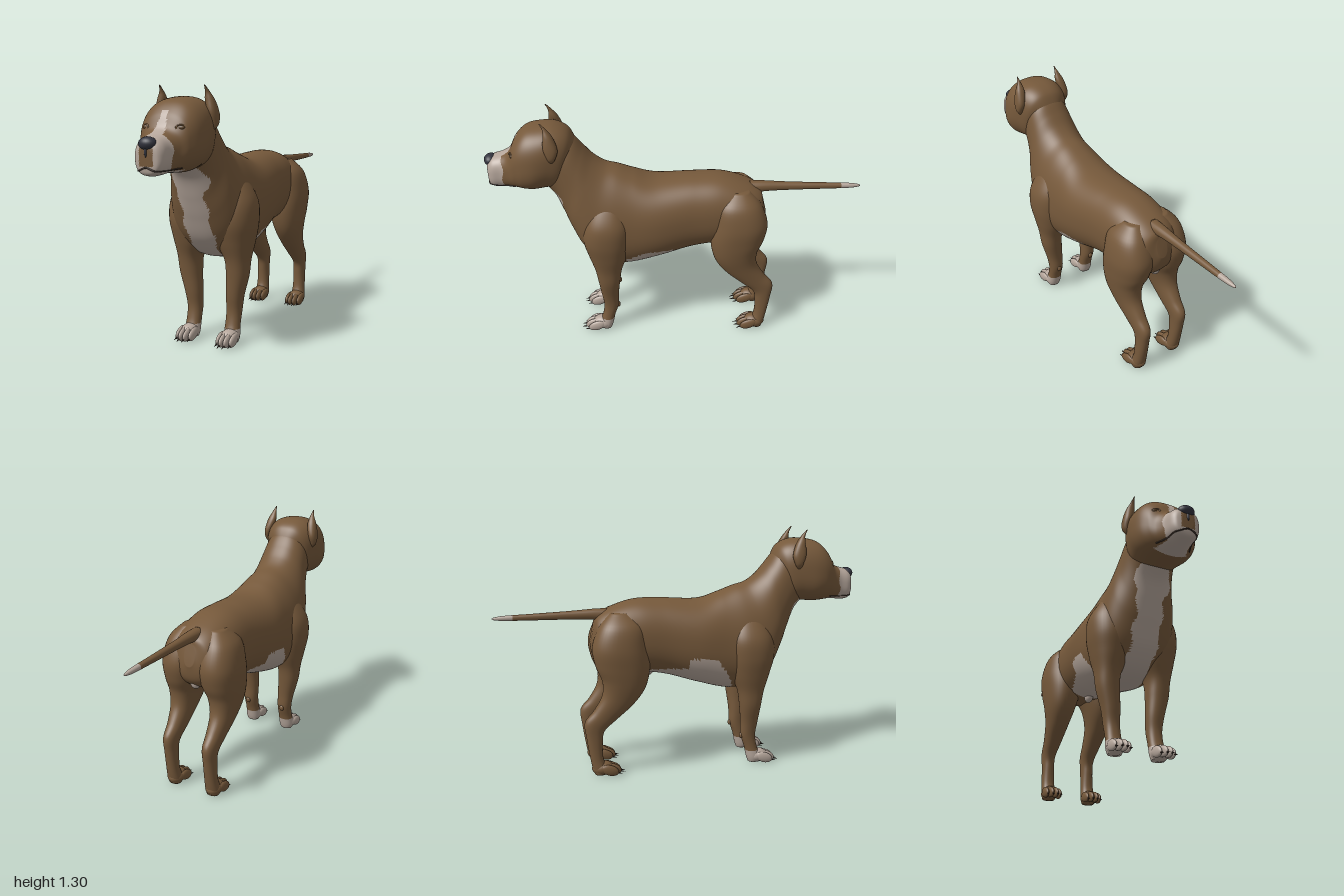
import * as THREE from 'three';

const mat = (name, hex) => {
  const m = new THREE.MeshStandardMaterial({ color: hex });
  m.name = name;
  return m;
};

// Cubic blend of one ring value between neighbouring key rings
const blend = (a, b, c, d, t) =>
  0.5 * (2 * b + (c - a) * t + (2 * a - 5 * b + 4 * c - d) * t * t + (3 * b - a - 3 * c + d) * t * t * t);

// Smooth skin through rings [zA, yA, zB, yB, halfWidth, centreX, bias].
// A and B are opposite points of the ring; bias widens the A side.
// paint(x, y, z) picks a material index for each face.
function loft(rings, { seg = 40, sub = 6, power = 0.9, mirror = 1, paint = () => 0 } = {}) {
  const pos = [], n = rings.length, at = i => rings[Math.max(0, Math.min(n - 1, i))];
  let rows = 0;
  for (let i = 0; i < n - 1; i++) {
    for (let k = 0; k < sub + (i === n - 2 ? 1 : 0); k++) {
      const r = [0, 1, 2, 3, 4, 5, 6].map(j =>
        blend(at(i - 1)[j] || 0, at(i)[j] || 0, at(i + 1)[j] || 0, at(i + 2)[j] || 0, k / sub));
      for (let s = 0; s < seg; s++) {
        const a = (s / seg) * Math.PI * 2;
        const c = Math.sign(Math.cos(a)) * Math.abs(Math.cos(a)) ** power;
        const w = Math.sign(Math.sin(a)) * Math.abs(Math.sin(a)) ** power;
        pos.push(mirror * (r[5] + w * r[4] * (1 + r[6] * c)),
          (r[1] + r[3]) / 2 + c * (r[1] - r[3]) / 2, (r[0] + r[2]) / 2 + c * (r[0] - r[2]) / 2);
      }
      rows++;
    }
  }
  const faces = [];
  for (let j = 0; j < rows - 1; j++) for (let s = 0; s < seg; s++) {
    const a = j * seg + s, b = j * seg + (s + 1) % seg;
    faces.push([a, b, a + seg], [b, b + seg, a + seg]);
  }
  // End caps
  for (const [row, flip] of [[0, true], [rows - 1, false]]) {
    const q = at(row ? n - 1 : 0), mid = pos.length / 3;
    pos.push(mirror * (q[5] || 0), (q[1] + q[3]) / 2, (q[0] + q[2]) / 2);
    for (let s = 0; s < seg; s++) {
      const a = row * seg + s, b = row * seg + (s + 1) % seg;
      faces.push(flip ? [b, a, mid] : [a, b, mid]);
    }
  }
  // Signed volume decides the corner order
  const v = i => new THREE.Vector3().fromArray(pos, i * 3);
  let volume = 0;
  const buckets = [];
  for (const f of faces) {
    const [a, b, c] = f.map(v);
    const m = a.clone().add(b).add(c).divideScalar(3);
    volume += a.dot(b.cross(c));
    const id = paint(m.x, m.y, m.z);
    (buckets[id] ||= []).push(f);
  }
  const geo = new THREE.BufferGeometry(), index = [];
  buckets.forEach((list, id) => {
    geo.addGroup(index.length, list.length * 3, id);
    for (const [a, b, c] of list) index.push(...(volume > 0 ? [a, b, c] : [a, c, b]));
  });
  geo.setAttribute('position', new THREE.Float32BufferAttribute(pos, 3));
  geo.setIndex(index);
  geo.computeVertexNormals();
  return geo;
}

export function createModel() {
  const dog = new THREE.Group();
  dog.name = 'dog';
  const brown = mat('brown coat', 0x76593b), white = mat('white markings', 0xb5a69b);
  const black = mat('nose black', 0x32333d), dark = mat('dark claw', 0x40332b);
  const eyeBrown = mat('eye brown', 0x5c4429);
  const coat = [brown, white];

  const add = (name, geo, material, parent = dog) => {
    const mesh = new THREE.Mesh(geo, material);
    mesh.name = name;
    parent.add(mesh);
    return mesh;
  };
  const ball = (name, material, p, r, parent = dog) => {
    const mesh = add(name, new THREE.SphereGeometry(1, 24, 16), material, parent);
    mesh.position.set(...p);
    mesh.scale.set(...r);
    return mesh;
  };

  // Torso and neck, with white chest and belly
  const torsoPaint = (x, y, z) => {
    const wave = 0.008 * Math.sin(y * 45 + x * 20);
    if (z > 0.27) return y < 0.93 && Math.abs(x) < 0.073 + wave + Math.max(0, 0.07 - Math.abs(y - 0.86)) * 0.5 ? 1 : 0;
    const side = x < 0 ? 1 : 0.35;
    const rise = z > 0.17 ? (0.27 - z) * 1.8 : z > 0.02 ? 0.18 : 0.13 + z * 0.1;
    const limit = 0.46 + (z < 0.02 ? (0.02 - z) * 0.05 : 0) + rise * side + (1 - side) * 0.06;
    return z > -0.2 && y < limit + wave ? 1 : 0;
  };
  add('torso', loft([
    [-0.47, 0.83, -0.497, 0.72, 0.03], [-0.455, 0.865, -0.475, 0.63, 0.105],
    [-0.38, 0.908, -0.39, 0.57, 0.155], [-0.25, 0.945, -0.22, 0.55, 0.17],
    [-0.1, 0.945, -0.08, 0.525, 0.178], [0.1, 0.935, 0.08, 0.475, 0.2],
    [0.22, 0.97, 0.26, 0.43, 0.2, 0, -0.08], [0.3, 1.0, 0.4, 0.45, 0.2, 0, -0.15],
    [0.37, 1.02, 0.5, 0.54, 0.185, 0, -0.15], [0.43, 1.06, 0.56, 0.66, 0.165, 0, -0.1],
    [0.48, 1.115, 0.6, 0.76, 0.143], [0.53, 1.175, 0.64, 0.86, 0.13], [0.58, 1.2, 0.7, 0.93, 0.12],
  ], { seg: 80, sub: 10, power: 0.88, paint: torsoPaint }), coat);

  // Head with blaze and white muzzle
  const headPaint = (x, y, z) => {
    const ax = Math.abs(x);
    if (y < 0.925 && z > 0.8) return 1;
    if (z > 0.93 && ax < 0.036 && y > 0.95 && y < 1.03) return 0;
    if (z > 0.895 + 0.006 * Math.sin(y * 60)) return 1;
    return z > 0.8 && y > 1.05 && y < 1.19 && ax < 0.01 + (1.2 - y) * 0.2 ? 1 : 0;
  };
  add('head', loft([
    [0.51, 1.14, 0.6, 0.95, 0.08], [0.55, 1.215, 0.62, 0.915, 0.128],
    [0.62, 1.25, 0.68, 0.91, 0.152], [0.7, 1.25, 0.74, 0.905, 0.162, 0, -0.05],
    [0.77, 1.232, 0.79, 0.907, 0.153, 0, -0.05], [0.825, 1.18, 0.83, 0.91, 0.13],
    [0.86, 1.115, 0.865, 0.91, 0.102], [0.9, 1.09, 0.91, 0.905, 0.083],
    [0.95, 1.075, 0.95, 0.905, 0.075], [0.975, 1.055, 0.975, 0.917, 0.058],
    [0.985, 1.03, 0.982, 0.95, 0.028],
  ], { seg: 80, sub: 10, power: 0.8, paint: headPaint }), coat);

  // Nose and mouth
  ball('nose', black, [0, 1.05, 0.965], [0.044, 0.031, 0.035]);
  ball('nosePhiltrum', black, [0, 1.015, 0.982], [0.007, 0.025, 0.008]);
  const lip = [[0.09, 0.935, 0.83], [0.064, 0.93, 0.9], [0.059, 0.93, 0.95], [0.042, 0.93, 0.975]];
  const lipPath = [...lip, [0, 0.945, 0.983], ...lip.map(([x, y, z]) => [-x, y, z]).reverse()];
  add('mouthLine', new THREE.TubeGeometry(
    new THREE.CatmullRomCurve3(lipPath.map(p => new THREE.Vector3(...p))), 50, 0.004, 6), dark);

  // Tail with white tip
  add('tail', loft([
    [-0.4, 0.9, -0.41, 0.83, 0.035], [-0.47, 0.9, -0.48, 0.843, 0.03], [-0.6, 0.893, -0.6, 0.848, 0.022],
    [-0.8, 0.886, -0.8, 0.852, 0.017], [-0.93, 0.882, -0.93, 0.855, 0.014],
    [-0.985, 0.876, -0.985, 0.86, 0.008], [-1, 0.87, -1, 0.866, 0.002],
  ], { seg: 20, paint: (x, y, z) => (z < -0.9 ? 1 : 0) }), coat);

  // Underbelly details
  ball('bellySheath', white, [0, 0.545, -0.185], [0.022, 0.03, 0.035]);
  ball('rearUnderside', white, [0, 0.61, -0.43], [0.028, 0.035, 0.03]);

  // Paw: pad, four toes and claws
  const paw = (name, material, x, z) => {
    const group = new THREE.Group();
    group.name = name;
    group.position.set(x, 0, z);
    dog.add(group);
    ball('pawPad', material, [0, 0.042, 0], [0.046, 0.04, 0.06], group);
    for (const [dx, dz] of [[-0.037, 0.035], [-0.013, 0.052], [0.013, 0.052], [0.037, 0.035]]) {
      const toe = ball('toe', material, [dx, 0.036, dz], [0.0145, 0.029, 0.05], group);
      toe.rotation.x = 0.35;
      const claw = add('claw', new THREE.ConeGeometry(0.008, 0.045, 8), dark, group);
      claw.position.set(dx, 0.017, dz + 0.05);
      claw.rotation.x = 1.85;
    }
  };

  const foreleg = [
    [0.4, 0.89, 0.31, 0.89, 0.025, 0.1], [0.45, 0.82, 0.27, 0.82, 0.075, 0.11],
    [0.49, 0.73, 0.24, 0.73, 0.112, 0.12], [0.5, 0.63, 0.24, 0.63, 0.118, 0.12],
    [0.475, 0.53, 0.26, 0.53, 0.1, 0.122], [0.445, 0.44, 0.295, 0.44, 0.066, 0.137],
    [0.43, 0.35, 0.31, 0.35, 0.058, 0.135], [0.418, 0.25, 0.322, 0.25, 0.047, 0.121],
    [0.408, 0.17, 0.325, 0.17, 0.04, 0.115], [0.418, 0.1, 0.347, 0.1, 0.039, 0.114],
    [0.44, 0.04, 0.36, 0.04, 0.042, 0.116], [0.43, 0.01, 0.37, 0.01, 0.034, 0.116],
  ];
  const hindleg = [
    [-0.29, 0.89, -0.39, 0.89, 0.04, 0.08], [-0.22, 0.82, -0.455, 0.82, 0.088, 0.1],
    [-0.2, 0.71, -0.495, 0.71, 0.11, 0.105], [-0.19, 0.6, -0.48, 0.61, 0.1, 0.112],
    [-0.215, 0.49, -0.448, 0.53, 0.08, 0.12], [-0.28, 0.4, -0.45, 0.45, 0.06, 0.122],
    [-0.375, 0.315, -0.495, 0.37, 0.045, 0.12], [-0.44, 0.255, -0.546, 0.305, 0.036, 0.12],
    [-0.453, 0.19, -0.54, 0.22, 0.033, 0.12], [-0.452, 0.1, -0.522, 0.1, 0.035, 0.12],
    [-0.43, 0.04, -0.51, 0.04, 0.04, 0.12], [-0.44, 0.01, -0.5, 0.01, 0.034, 0.12],
  ];
  const ear = [
    [0.677, 1.306, 0.67, 1.305, 0.002, 0.121], [0.662, 1.275, 0.638, 1.27, 0.012, 0.124],
    [0.662, 1.24, 0.61, 1.228, 0.024, 0.13], [0.665, 1.18, 0.592, 1.17, 0.024, 0.143],
    [0.65, 1.13, 0.605, 1.125, 0.02, 0.146], [0.64, 1.1, 0.62, 1.1, 0.006, 0.142],
  ];

  // Paired parts
  for (const s of [1, -1]) {
    const side = s > 0 ? 'left' : 'right';
    add(side + 'FrontLeg', loft(foreleg, { mirror: s, paint: (x, y) => (y < 0.075 ? 1 : 0) }), coat);
    add(side + 'HindLeg', loft(hindleg, { mirror: s }), coat);
    add(side + 'Ear', loft(ear, { seg: 24, mirror: s }), coat);
    paw(side + 'FrontPaw', white, s * 0.117, 0.42);
    paw(side + 'HindPaw', brown, s * 0.12, -0.455);
    ball(side + 'CarpalPad', brown, [s * 0.115, 0.165, 0.328], [0.014, 0.018, 0.012]);
    ball(side + 'Eye', eyeBrown, [s * 0.09, 1.115, 0.834], [0.02, 0.012, 0.012]);
    const lid = add(side + 'Eyelid', new THREE.TorusGeometry(0.02, 0.005, 8, 24), brown);
    lid.position.set(s * 0.091, 1.115, 0.838);
    lid.scale.y = 0.65;
    lid.rotation.y = s * 0.5;
  }
  return dog;
}
